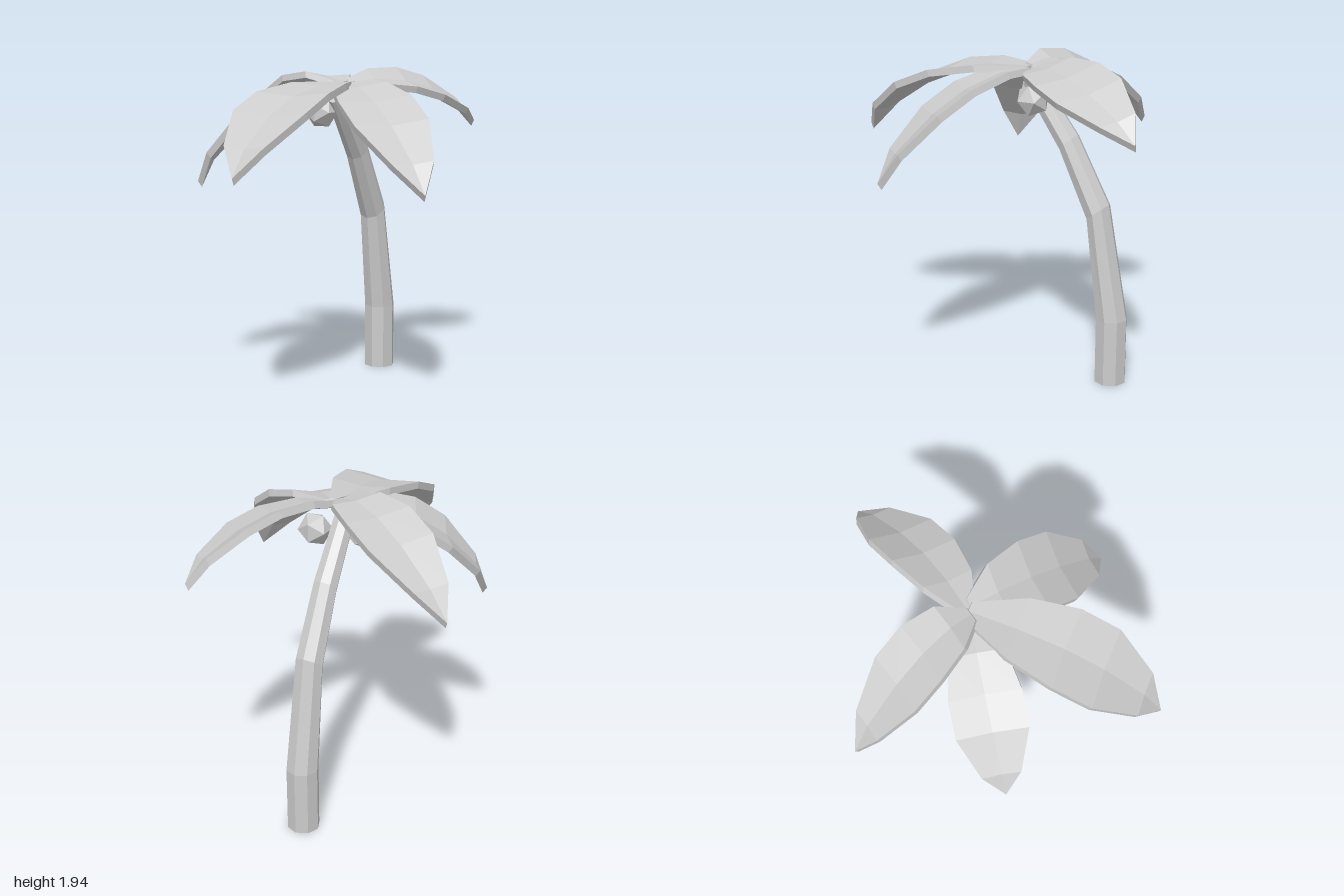
import * as THREE from 'three';

const V = (p) => new THREE.Vector3(...p);
const material = new THREE.MeshStandardMaterial({ color: 0xcccccc, flatShading: true });

// Skin a list of equal-sized rings (clockwise seen from the far end) and cap both ends.
function loft(rings) {
  const n = rings[0].length;
  const index = [];
  for (let i = 0; i < rings.length - 1; i++) {
    for (let j = 0; j < n; j++) {
      const a = i * n + j, b = i * n + (j + 1) % n;
      index.push(a, a + n, b + n, a, b + n, b);
    }
  }
  const last = (rings.length - 1) * n;
  for (let j = 1; j < n - 1; j++) {
    index.push(0, j, j + 1, last, last + j + 1, last + j);
  }
  const geometry = new THREE.BufferGeometry().setFromPoints(rings.flat());
  geometry.setIndex(index);
  geometry.computeVertexNormals();
  return geometry;
}

function addMesh(parent, name, geometry) {
  const mesh = new THREE.Mesh(geometry, material);
  mesh.name = name;
  parent.add(mesh);
  return mesh;
}

// Curved eight-sided trunk: height, z, radius, tilt of each ring
function trunkGeometry() {
  const sections = [
    [0, -0.665, 0.096, 0],
    [0.4, -0.665, 0.096, 0],
    [1.04, -0.565, 0.083, 0.66],
    [1.43, -0.37, 0.072, 0.76],
    [1.78, -0.12, 0.06, 0.76],
  ];
  return loft(sections.map(([y, z, r, tilt]) =>
    Array.from({ length: 8 }, (_, j) => {
      const t = j * Math.PI / 4;
      const across = r * Math.sin(t);
      return new THREE.Vector3(
        -0.037 + r * Math.cos(t),
        y - across * Math.sin(tilt),
        z + across * Math.cos(tilt));
    })));
}

// Frond arched over the chord from base to tip: position along the chord, arch height, half width
const FROND = [
  [0, 0, 0.045],
  [0.213, 0.089, 0.15],
  [0.432, 0.141, 0.195],
  [0.634, 0.142, 0.195],
  [0.868, 0.086, 0.107],
  [1, 0, 0],
];

function frondGeometry({ base, tip, side, ease, arch }) {
  const origin = V(base);
  const forward = V(tip).sub(origin);
  const length = forward.length();
  const across = V(side).normalize();
  const up = forward.clone().cross(across).normalize();
  const thick = 0.042;
  return loft(FROND.map(([a, h, w]) => {
    const along = Math.pow(a, ease);
    const dip = w * 0.13;
    const point = (x, drop) => origin.clone()
      .addScaledVector(forward, along)
      .addScaledVector(across, x * length)
      .addScaledVector(up, h * arch * length - drop);
    return [
      point(-w, 0), point(0, dip), point(w, 0),
      point(w, thick), point(0, dip + thick), point(-w, thick),
    ];
  }));
}

export function createModel() {
  const model = new THREE.Group();
  model.name = 'palmTree';

  addMesh(model, 'trunk', trunkGeometry());

  // Crown of five fronds, each with its own reach and roll
  const crown = new THREE.Group();
  crown.name = 'crown';
  model.add(crown);
  const fronds = {
    frontFrond: { base: [0, 1.865, -0.14], tip: [0, 1.395, 1], side: [1, 0, 0], ease: 1, arch: 1 },
    frontLeftFrond: { base: [0.03, 1.86, -0.14], tip: [0.82, 1.29, 0.375], side: [0.7, 0.08, -0.7], ease: 1.25, arch: 0.95 },
    frontRightFrond: { base: [-0.03, 1.85, -0.12], tip: [-0.725, 1.27, 0.35], side: [0.5, 0.08, 0.86], ease: 1.15, arch: 1.2 },
    backRightFrond: { base: [-0.015, 1.87, -0.12], tip: [-0.83, 1.44, -0.495], side: [-0.58, 0.07, 0.81], ease: 1.4, arch: 1.15 },
    backLeftFrond: { base: [0.01, 1.86, -0.15], tip: [0.46, 1.6, -1], side: [-0.72, 0.27, -0.62], ease: 1.12, arch: 1 },
  };
  for (const [name, shape] of Object.entries(fronds)) {
    addMesh(crown, name, frondGeometry(shape));
  }

  // Faceted coconuts under the crown
  const nut = new THREE.IcosahedronGeometry(0.1, 0);
  addMesh(crown, 'leftCoconut', nut).position.set(0.11, 1.69, -0.21);
  addMesh(crown, 'rightCoconut', nut).position.set(-0.13, 1.68, -0.1);

  return model;
}
